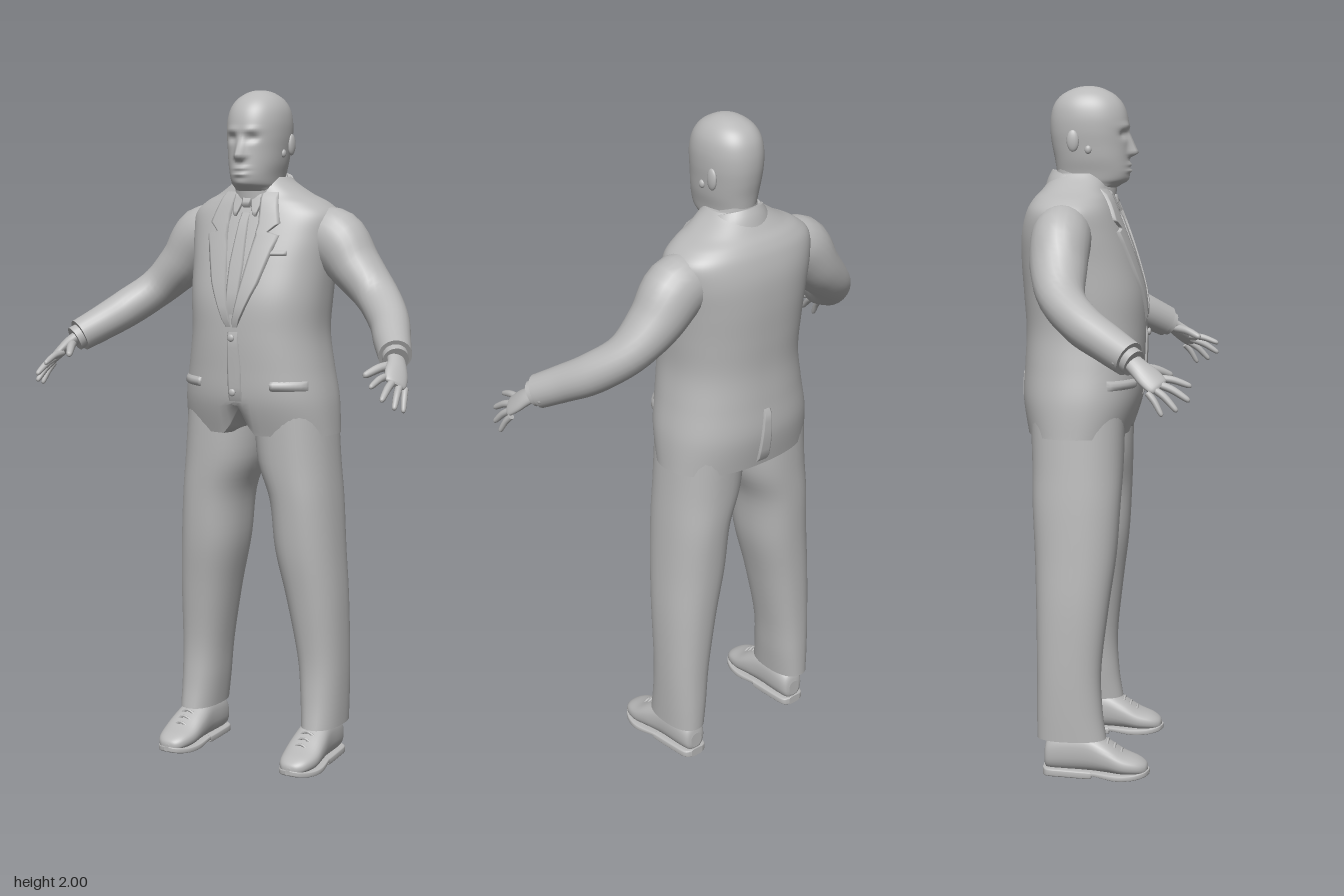
import * as THREE from 'three';

const grey = new THREE.MeshStandardMaterial({ color: 0xb8b8b8 });
grey.name = 'plain grey';
const V = (a) => new THREE.Vector3(a[0], a[1], a[2]);

// Catmull-Rom refinement of a list of number rows
function densify(rows, steps) {
  const out = [];
  const row = (i) => rows[Math.max(0, Math.min(rows.length - 1, i))];
  for (let i = 0; i < rows.length - 1; i++)
    for (let s = 0; s < steps; s++) {
      const t = s / steps;
      out.push(rows[i].map((_, k) => {
        const [a, b, c, d] = [row(i - 1)[k], row(i)[k], row(i + 1)[k], row(i + 2)[k]];
        return b + 0.5 * t * (c - a + t * (2 * a - 5 * b + 4 * c - d + t * (3 * (b - c) + d - a)));
      }));
    }
  out.push(rows[rows.length - 1]);
  return out;
}

// Skin over equal-length rings, with separate flat end caps
function skin(rings) {
  const n = rings[0].length, pos = [], index = [];
  const put = (ring) => ring.forEach((p) => pos.push(p.x, p.y, p.z));
  rings.forEach(put);
  for (let r = 0; r < rings.length - 1; r++)
    for (let k = 0; k < n; k++) {
      const a = r * n + k, c = r * n + (k + 1) % n;
      index.push(a, a + n, c, a + n, c + n, c);
    }
  [rings[0], rings[rings.length - 1]].forEach((ring, end) => {
    const base = pos.length / 3;
    put(ring);
    const mid = ring.reduce((s, p) => s.add(p), new THREE.Vector3()).divideScalar(n);
    pos.push(mid.x, mid.y, mid.z);
    for (let k = 0; k < n; k++) {
      const a = base + k, b = base + (k + 1) % n;
      index.push(base + n, end ? b : a, end ? a : b);
    }
  });
  return finish(pos, index);
}

function finish(pos, index) {
  const g = new THREE.BufferGeometry();
  g.setAttribute('position', new THREE.Float32BufferAttribute(pos, 3));
  g.setIndex(index);
  g.computeVertexNormals();
  return g;
}

// Upright loft; rows are [y, centre x, half width, front z, back z]
function loft(rows, n = 40, power = 2.2, steps = 5, rule = null) {
  return skin(densify(rows, steps).map(([y, cx, rx, zf, zb]) =>
    Array.from({ length: n }, (_, k) => {
      const a = (k / n) * Math.PI * 2, c = Math.cos(a), s = Math.sin(a);
      const e = (v) => Math.sign(v) * Math.abs(v) ** (2 / power);
      const p = new THREE.Vector3(cx + rx * e(c), y, (zf + zb) / 2 + (zf - zb) / 2 * e(s));
      if (rule) rule(p);
      return p;
    })));
}

// Limb along a path; points are [x, y, z, half width, half thickness]
function limb(points, across = [0, 1, 0], n = 24, steps = 5) {
  const rows = densify(points, steps), ref = V(across);
  return skin(rows.map((r, i) => {
    const T = V(rows[Math.min(i + 1, rows.length - 1)]).sub(V(rows[Math.max(i - 1, 0)])).normalize();
    const S = ref.clone().addScaledVector(T, -ref.dot(T)).normalize();
    const N = S.clone().cross(T);
    return Array.from({ length: n }, (_, k) => {
      const a = (k / n) * Math.PI * 2;
      return V(r).addScaledVector(S, r[3] * Math.cos(a)).addScaledVector(N, r[4] * Math.sin(a));
    });
  }));
}

function mirrored(g) {
  const m = g.clone().scale(-1, 1, 1), ix = m.index.array;
  for (let i = 0; i < ix.length; i += 3) [ix[i], ix[i + 1]] = [ix[i + 1], ix[i]];
  m.computeVertexNormals();
  return m;
}

const torsoRows = [
  [1.0, 0, 0.243, 0.05, -0.25], [1.1, 0, 0.237, 0.082, -0.266], [1.2, 0, 0.22, 0.09, -0.262],
  [1.3, 0, 0.207, 0.093, -0.258], [1.4, 0, 0.212, 0.088, -0.264], [1.5, 0, 0.22, 0.062, -0.27],
  [1.58, 0, 0.23, 0.035, -0.268], [1.64, 0, 0.23, 0.012, -0.254], [1.675, 0, 0.195, -0.002, -0.236],
  [1.7, 0, 0.145, -0.012, -0.214], [1.73, 0, 0.098, -0.02, -0.19], [1.75, 0, 0.076, -0.03, -0.17]];
const torsoFine = densify(torsoRows, 6), TP = 2.3;

// Depth of the jacket surface at x, y
function jacketZ(x, y, sign) {
  let i = torsoFine.findIndex((r) => r[0] >= y);
  i = Math.max(1, i);
  const a = torsoFine[i - 1], b = torsoFine[i], t = (y - a[0]) / (b[0] - a[0]);
  const [rx, zf, zb] = [2, 3, 4].map((k) => a[k] + (b[k] - a[k]) * t);
  return (zf + zb) / 2 + sign * (zf - zb) / 2 * Math.max(0, 1 - Math.min(1, Math.abs(x) / rx) ** TP) ** (1 / TP);
}

// Thin cloth panel lying on the jacket; rows from top down are [y, x from, x to]
function panel(rows, lift = 0.007, sign = 1) {
  const pos = [], index = [], m = 10, fine = [];
  rows.slice(1).forEach((b, i) => {
    for (let s = 0; s < 4; s++) fine.push(rows[i].map((v, k) => v + (b[k] - v) * s / 4));
  });
  fine.push(rows[rows.length - 1]);
  fine.forEach(([y, x0, x1], r) => {
    for (let c = 0; c <= m; c++) {
      const u = c <= 1 ? c * 0.02 : c >= m - 1 ? 1 - (m - c) * 0.02 : (c - 1) / (m - 2);
      const x = x0 + (x1 - x0) * u;
      const edge = c === 0 || c === m || r === 0 || r === fine.length - 1;
      pos.push(x, y, jacketZ(x, y, sign) + sign * (edge ? -0.004 : lift));
      if (r && c) {
        const d = r * (m + 1) + c, q = d - 1, b = d - m - 1, a = b - 1;
        if (sign > 0) index.push(a, q, b, q, d, b);
        else index.push(a, b, q, q, b, d);
      }
    }
  });
  return finish(pos, index);
}

export function createModel() {
  const group = new THREE.Group();
  const add = (name, g) => {
    const mesh = new THREE.Mesh(g, grey);
    mesh.name = name;
    group.add(mesh);
  };
  const pair = (name, g) => { add(name + 'Left', g); add(name + 'Right', mirrored(g)); };
  const ball = (x, y, z, sx, sy, sz) => new THREE.SphereGeometry(1, 16, 12).scale(sx, sy, sz).translate(x, y, z);

  // Head and neck, with the face shaped by soft bumps
  const bump = (d, w) => Math.exp(-((d / w) ** 2));
  add('head', loft([
    [1.66, 0, 0.07, -0.015, -0.16], [1.7, 0, 0.068, -0.005, -0.163], [1.718, 0, 0.064, 0.018, -0.165],
    [1.732, 0, 0.066, 0.036, -0.167], [1.755, 0, 0.07, 0.043, -0.17], [1.79, 0, 0.078, 0.042, -0.175],
    [1.83, 0, 0.083, 0.041, -0.183], [1.87, 0, 0.087, 0.041, -0.188], [1.91, 0, 0.087, 0.038, -0.187],
    [1.945, 0, 0.08, 0.026, -0.178], [1.972, 0, 0.064, 0.004, -0.158], [1.99, 0, 0.041, -0.027, -0.127],
    [1.998, 0, 0.02, -0.052, -0.1], [2.0, 0, 0.001, -0.074, -0.076]], 80, 2.15, 6, (p) => {
    if (p.z < -0.05 || p.y < 1.72) return;
    const x = Math.abs(p.x), y = p.y;
    const ridge = y > 1.808 ? Math.max(0, (1.872 - y) / 0.064) : Math.max(0, 1 - (1.808 - y) / 0.014);
    p.z += 0.029 * ridge * bump(x, 0.009 + 0.007 * ridge);
    p.z -= 0.011 * bump(x - 0.033, 0.018) * bump(y - 1.862, 0.012);
    p.z += 0.005 * bump(x - 0.03, 0.026) * bump(y - 1.885, 0.009);
    p.z += 0.008 * bump(x, 0.022) * (bump(y - 1.775, 0.006) + bump(y - 1.759, 0.006));
    p.z -= 0.004 * bump(x, 0.026) * bump(y - 1.767, 0.004);
    p.z += 0.004 * bump(x, 0.02) * bump(y - 1.732, 0.012);
  }));
  pair('eye', ball(0.033, 1.862, 0.01, 0.012, 0.007, 0.009));
  pair('ear', ball(0.084, 1.845, -0.075, 0.009, 0.031, 0.018).rotateX(-0.02));
  pair('earLobe', ball(0.082, 1.818, -0.068, 0.007, 0.012, 0.01));

  // Jacket body, cut away at the front hem
  add('jacket', loft(torsoRows, 72, TP, 6, (p) => {
    if (p.z > 0 && p.y < 1.1) p.y += 0.08 * Math.max(0, 1 - Math.abs(p.x) / 0.045) * (1.1 - p.y) / 0.1;
  }));
  const tilt = (p) => { p.y -= (p.z + 0.09) * 0.32; };
  add('shirtCollar', loft([[1.68, 0, 0.082, 0.0, -0.175], [1.742, 0, 0.073, 0.006, -0.17]], 40, 2, 3, tilt));
  add('jacketCollar', loft([[1.67, 0, 0.115, -0.01, -0.205], [1.705, 0, 0.098, -0.014, -0.195],
    [1.732, 0, 0.083, -0.02, -0.183]], 40, 2, 3, tilt));
  pair('lapel', panel([[1.715, 0.04, 0.085], [1.62, 0.05, 0.115], [1.595, 0.048, 0.085],
    [1.585, 0.047, 0.118], [1.45, 0.025, 0.078], [1.31, 0.0, 0.014]], 0.009));
  pair('shirtCollarPoint', panel([[1.71, 0.006, 0.045], [1.67, 0.016, 0.046], [1.635, 0.03, 0.036]], 0.008));
  add('tieKnot', panel([[1.7, -0.017, 0.017], [1.66, -0.011, 0.011]], 0.013));
  add('tie', panel([[1.665, -0.012, 0.012], [1.5, -0.023, 0.023], [1.34, -0.018, 0.018]], 0.006));
  add('frontOverlap', panel([[1.32, -0.012, 0.02], [1.2, -0.014, 0.03], [1.09, -0.012, 0.03]], 0.005));
  pair('pocketFlap', panel([[1.168, 0.115, 0.205], [1.135, 0.118, 0.208]], 0.009));
  add('breastPocket', panel([[1.545, 0.085, 0.145], [1.525, 0.085, 0.145]], 0.006));
  add('backVentFlap', panel([[1.19, -0.004, 0.018], [1.1, -0.004, 0.03], [1.005, -0.004, 0.036]], 0.008, -1));
  for (const y of [1.29, 1.13]) add('button', ball(0.003, y, jacketZ(0, y, 1) + 0.008, 0.011, 0.011, 0.006));

  // Sleeves, cuffs and cuff buttons
  pair('sleeve', limb([
    [0.14, 1.585, -0.125, 0.075, 0.075], [0.225, 1.568, -0.125, 0.092, 0.085], [0.295, 1.49, -0.122, 0.075, 0.08],
    [0.375, 1.412, -0.1, 0.06, 0.066], [0.445, 1.35, -0.035, 0.058, 0.058], [0.492, 1.305, 0.04, 0.053, 0.053],
    [0.532, 1.27, 0.102, 0.049, 0.047]]));
  pair('shirtCuff', limb([[0.52, 1.28, 0.085, 0.037, 0.037], [0.541, 1.26, 0.116, 0.038, 0.036]]));
  for (let i = 0; i < 3; i++)
    pair('cuffButton', ball(0.555 - i * 0.013, 1.262 + i * 0.012, 0.066 - i * 0.02, 0.008, 0.008, 0.008));

  // Hands
  const across = [0.044, -0.035, -0.03];
  pair('palm', limb([[0.53, 1.272, 0.1, 0.026, 0.019], [0.55, 1.25, 0.128, 0.029, 0.018],
    [0.562, 1.228, 0.155, 0.035, 0.016], [0.573, 1.205, 0.182, 0.033, 0.012], [0.576, 1.199, 0.19, 0.022, 0.006]], across));
  const finger = (base, tip, r) => {
    const at = (t, s, lift = 0) => [0, 1, 2].map((k) => base[k] + (tip[k] - base[k]) * t + (k === 1 ? lift : 0)).concat([r * s, r * s]);
    return limb([at(0, 1.1), at(0.45, 1.05, 0.006), at(0.85, 0.85, 0.002), at(0.97, 0.55), at(1, 0.05)], across, 12, 4);
  };
  pair('indexFinger', finger([0.547, 1.222, 0.175], [0.54, 1.2, 0.27], 0.0095));
  pair('middleFinger', finger([0.565, 1.21, 0.178], [0.573, 1.165, 0.268], 0.01));
  pair('ringFinger', finger([0.58, 1.198, 0.172], [0.596, 1.14, 0.237], 0.0095));
  pair('littleFinger', finger([0.59, 1.188, 0.158], [0.605, 1.128, 0.198], 0.0085));
  pair('thumb', finger([0.54, 1.247, 0.13], [0.492, 1.222, 0.215], 0.012));

  // Trousers
  pair('trouserLeg', loft([
    [0.115, 0.214, 0.057, 0.0, -0.203], [0.2, 0.21, 0.063, -0.012, -0.204], [0.32, 0.204, 0.07, -0.016, -0.204],
    [0.5, 0.186, 0.085, 0.004, -0.208], [0.65, 0.165, 0.097, 0.024, -0.214], [0.8, 0.152, 0.1, 0.034, -0.222],
    [0.92, 0.126, 0.116, 0.04, -0.226], [1.07, 0.115, 0.115, 0.043, -0.232]], 40, 2.3));

  // Shoes: lofted upright, then laid forward so rows run heel to toe
  const shoe = (rows, power) => loft(rows, 32, power).rotateX(Math.PI / 2);
  pair('shoeUpper', shoe([
    [-0.182, 0.205, 0.02, -0.03, -0.08], [-0.172, 0.205, 0.036, -0.018, -0.11], [-0.13, 0.206, 0.045, -0.015, -0.135],
    [-0.06, 0.208, 0.05, -0.015, -0.14], [0.0, 0.211, 0.057, -0.015, -0.11], [0.05, 0.213, 0.058, -0.012, -0.078],
    [0.095, 0.213, 0.046, -0.012, -0.06], [0.117, 0.212, 0.027, -0.014, -0.046], [0.123, 0.212, 0.006, -0.02, -0.034]], 2.4));
  pair('shoeSole', shoe([
    [-0.186, 0.205, 0.022, 0, -0.026], [-0.172, 0.205, 0.041, 0, -0.026], [-0.12, 0.206, 0.048, 0, -0.026],
    [-0.045, 0.208, 0.053, 0, -0.025], [-0.035, 0.209, 0.054, -0.01, -0.025], [0.03, 0.213, 0.063, -0.001, -0.022],
    [0.08, 0.213, 0.055, -0.002, -0.022], [0.115, 0.212, 0.034, -0.008, -0.026], [0.128, 0.212, 0.008, -0.014, -0.028]], 5));
  for (let i = 0; i < 3; i++)
    pair('shoeLace', limb([[0.185, 0.098 - i * 0.014, 0.004 + i * 0.02, 0.004, 0.004],
      [0.211, 0.112 - i * 0.014, 0.006 + i * 0.02, 0.004, 0.004],
      [0.237, 0.098 - i * 0.014, 0.004 + i * 0.02, 0.004, 0.004]], [0, 1, 0], 8, 4));
  return group;
}
